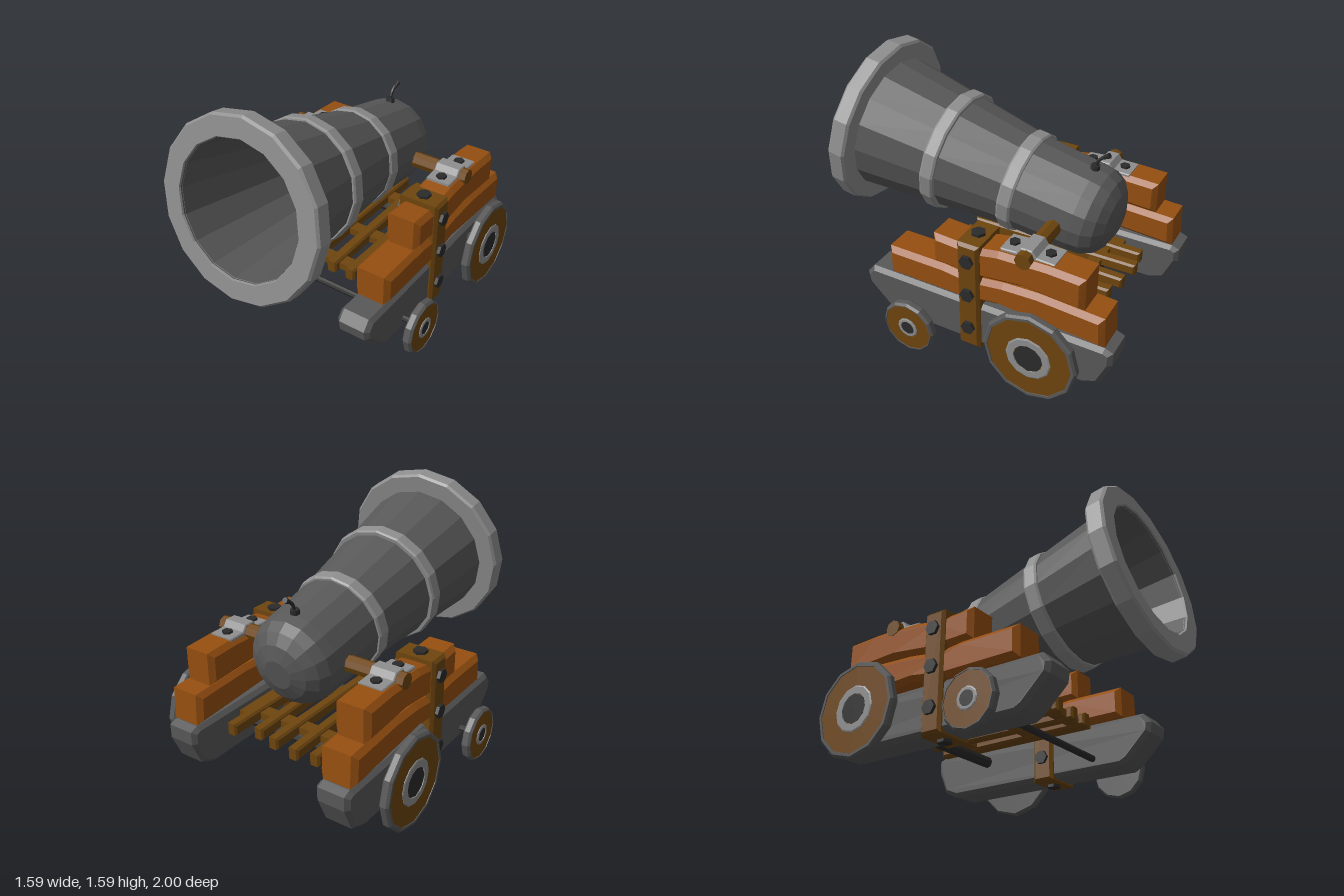
import * as THREE from 'three';

const mat = (color) => new THREE.MeshStandardMaterial({ color, flatShading: true, side: THREE.DoubleSide });

export function createModel() {
  const model = new THREE.Group();
  const orange = mat(0x964f10), brown = mat(0x6e450e), iron = mat(0x585858);
  const steel = mat(0x8e8e8e), black = mat(0x2b2b2b);

  const add = (name, geometry, material, x = 0, y = 0, z = 0, parent = model) => {
    const m = new THREE.Mesh(geometry, material);
    m.name = name;
    m.position.set(x, y, z);
    parent.add(m);
    return m;
  };

  // Side profile of [z, y] points, extruded along x with chamfered edges, centred on x = 0
  const slab = (points, width, bevel) => {
    const shape = new THREE.Shape(points.map(([z, y]) => new THREE.Vector2(z, y)));
    const g = new THREE.ExtrudeGeometry(shape, {
      depth: width - 2 * bevel, bevelEnabled: true, bevelSegments: 1,
      bevelSize: bevel, bevelThickness: bevel, bevelOffset: -bevel,
    });
    g.translate(0, 0, bevel - width / 2);
    return g.rotateY(-Math.PI / 2);
  };
  const block = (w, h, d, bevel) =>
    slab([[-d / 2, -h / 2], [d / 2, -h / 2], [d / 2, h / 2], [-d / 2, h / 2]], w, bevel);
  const rod = (r, length, sides) => new THREE.CylinderGeometry(r, r, length, sides).rotateZ(Math.PI / 2);
  const lathe = (points, sides) =>
    new THREE.LatheGeometry(points.map(([r, y]) => new THREE.Vector2(r, y)), sides);

  // Barrel: local y runs along the bore, origin at the centre of the muzzle
  const barrel = new THREE.Group();
  barrel.name = 'barrel';
  barrel.position.set(0, 1.07, 0.91);
  barrel.rotation.x = Math.acos(0.167);
  model.add(barrel);
  add('barrelBody', lathe([[0, -1.685], [0.09, -1.685], [0.175, -1.655], [0.235, -1.61], [0.268, -1.55],
    [0.277, -1.48], [0.298, -1.08], [0.36, -0.6], [0.425, -0.1]], 16), iron, 0, 0, 0, barrel);
  add('bore', lathe([[0.406, -0.01], [0.265, -1], [0, -1]], 16), iron, 0, 0, 0, barrel);
  add('muzzleRing', lathe([[0.41, -0.115], [0.525, -0.115], [0.538, -0.1], [0.538, -0.015],
    [0.525, 0], [0.412, 0], [0.404, -0.02]], 16), steel, 0, 0, 0, barrel);
  for (const [t, r] of [[0.592, 0.384], [1.077, 0.315]]) {
    add('barrelBand', lathe([[r - 0.04, -0.045], [r - 0.008, -0.045], [r, -0.033], [r, 0.033],
      [r - 0.008, 0.045], [r - 0.04, 0.045]], 16), steel, 0, -t, 0, barrel);
  }

  // Fuse, with its socket and a flared tip
  const fusePath = new THREE.CatmullRomCurve3([
    new THREE.Vector3(0, 1.09, -0.58), new THREE.Vector3(0, 1.15, -0.595), new THREE.Vector3(0, 1.185, -0.63)]);
  add('fuse', new THREE.TubeGeometry(fusePath, 5, 0.01, 6), black);
  add('fuseTip', new THREE.CylinderGeometry(0.018, 0.01, 0.05, 6), black, 0, 1.188, -0.64).rotation.x = -1;
  add('fuseSocket', new THREE.CylinderGeometry(0.026, 0.03, 0.03, 8), black, 0, 1.107, -0.58).rotation.x = -0.17;

  // Trunnion and axles
  add('trunnion', rod(0.05, 1.3, 8), brown, 0, 0.82, -0.46);
  add('rearAxle', rod(0.037, 1.5, 8), black, 0, 0.3, -0.575);
  add('frontAxle', rod(0.021, 1.5, 8), black, 0, 0.18, 0.225);

  // Floor slats with uneven rear ends, held by cross battens
  const rearEnds = [-0.81, -0.83, -0.81, -0.78, -0.83];
  rearEnds.forEach((back, i) => {
    const slat = add('floorSlat', block(0.07, 0.075, 0.28 - back, 0.012), brown,
      (i - 2) * 0.145, 0.378, (0.28 + back) / 2);
    slat.rotation.y = 0.012 * (i % 2 ? 1 : -1);
  });
  for (const s of [-1, 1]) {
    add('edgeSlat', block(0.07, 0.05, 0.92, 0.012), brown, s * 0.35, 0.376, -0.21);
  }
  for (const z of [-0.575, -0.13, 0.2]) {
    add('floorBatten', block(0.77, 0.045, 0.08, 0.01), brown, 0, 0.374, z);
  }

  // Wheel: iron body, wooden face, steel ring and dark hub; outer side is +y before turning
  const wheel = (name, s, r, y, z, ringR, hubR) => {
    const g = new THREE.Group();
    g.name = name;
    g.position.set(s * 0.763, y, z);
    g.rotation.z = -s * Math.PI / 2;
    model.add(g);
    add('wheelBody', lathe([[0, -0.028], [r - 0.01, -0.028], [r, -0.018], [r, 0.014],
      [r - 0.012, 0.028], [r * 0.9, 0.028], [r * 0.89, 0.018], [0, 0.018]], 12), iron, 0, 0, 0, g);
    add('wheelFace', new THREE.CylinderGeometry(r * 0.895, r * 0.895, 0.02, 12), brown, 0, 0.014, 0, g);
    add('hubRing', lathe([[ringR, 0.02], [ringR, 0.027], [ringR - 0.008, 0.031],
      [hubR, 0.031], [hubR, 0.02]], 12), steel, 0, 0, 0, g);
    add('hub', new THREE.CylinderGeometry(hubR, hubR, 0.02, 8), black, 0, 0.018, 0, g);
  };

  // Both cheeks of the carriage
  const baseProfile = [[0.41, 0.11], [0.46, 0.135], [0.61, 0.28], [0.62, 0.345], [0.57, 0.405],
    [-0.95, 0.405], [-1, 0.385], [-1, 0.3], [-0.935, 0.15], [-0.84, 0.11]].reverse();
  const lowerProfile = [[0.43, 0.415], [0.43, 0.605], [0.05, 0.605], [-0.12, 0.585], [-0.33, 0.615],
    [-0.55, 0.625], [-0.94, 0.605], [-0.95, 0.41], [-0.3, 0.45], [-0.08, 0.415]].reverse();
  const upperProfile = [[0.12, 0.605], [0.12, 0.8], [-0.14, 0.785], [-0.3, 0.815], [-0.6, 0.825],
    [-0.82, 0.815], [-0.82, 0.61], [-0.45, 0.63], [-0.2, 0.6]].reverse();
  // Cap strap: flat feet with an arch over the trunnion
  const capProfile = [[-0.63, 0.8], [-0.63, 0.832], [-0.52, 0.836], [-0.495, 0.873], [-0.425, 0.873],
    [-0.4, 0.836], [-0.3, 0.83], [-0.3, 0.8]].reverse();

  for (const s of [-1, 1]) {
    const x = s * 0.535;
    add('carriageBase', slab(baseProfile, 0.215, 0.025), iron, x);
    add('lowerBeam', slab(lowerProfile, 0.23, 0.03), orange, x);
    add('upperBeam', slab(upperProfile, 0.22, 0.03), orange, x);
    add('clampStrap', block(0.265, 0.725, 0.14, 0.018), brown, x, 0.46, -0.125);
    for (const y of [0.715, 0.483, 0.245]) {
      add('strapBolt', rod(0.044, 0.305, 6), black, x, y, -0.125);
    }
    add('verticalBolt', new THREE.CylinderGeometry(0.044, 0.044, 0.76, 6), black, x, 0.46, -0.125);

    add('trunnionCap', slab(capProfile, 0.16, 0.006), steel, s * 0.525).rotation.y = 0;
    for (const z of [-0.57, -0.35]) {
      add('capBolt', new THREE.CylinderGeometry(0.033, 0.033, 0.05, 6), black, s * 0.525, 0.822, z);
    }
    wheel('rearWheel', s, 0.287, 0.3, -0.575, 0.138, 0.09);
    wheel('frontWheel', s, 0.172, 0.18, 0.225, 0.066, 0.045);
  }
  return model;
}
